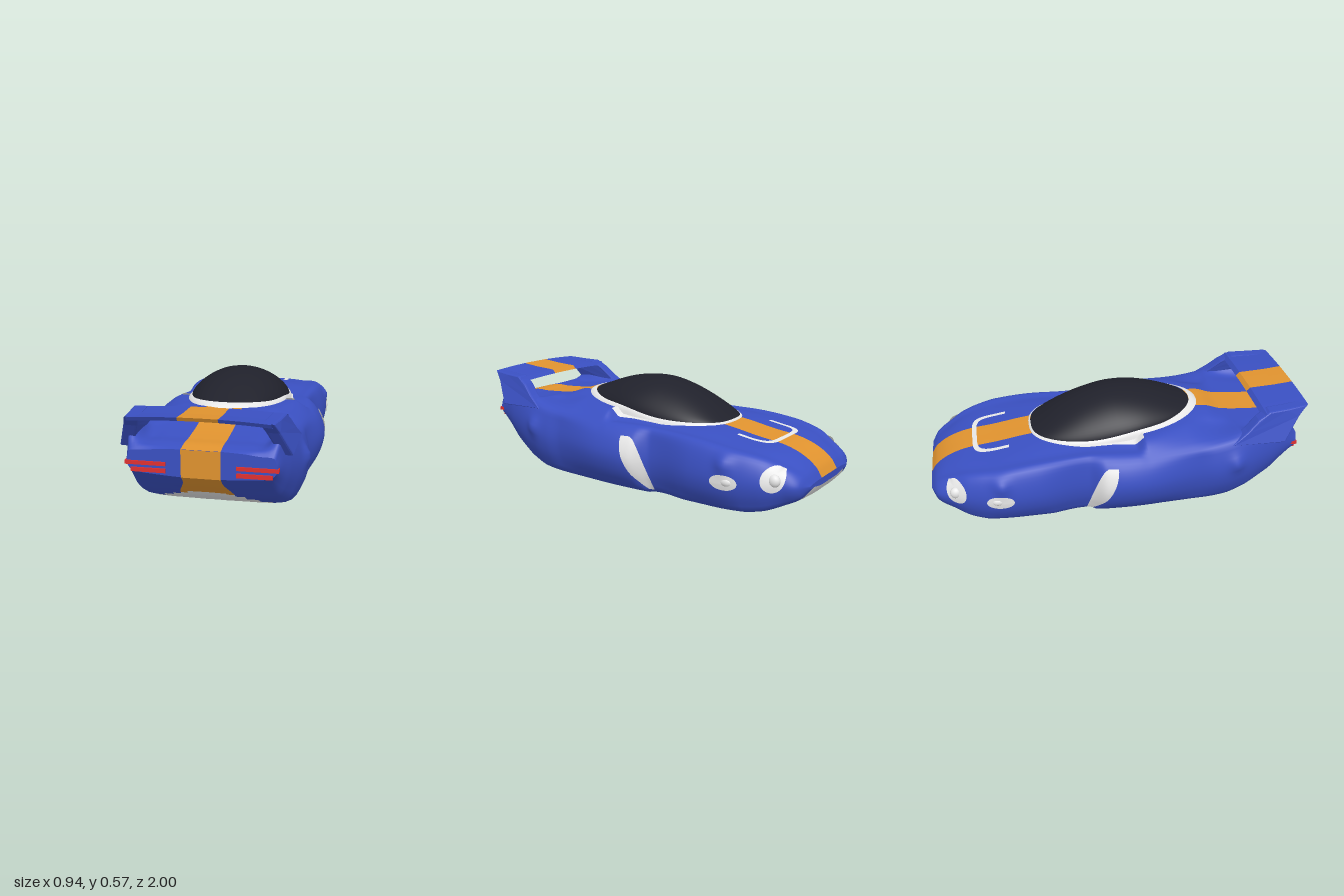
import * as THREE from 'three';

const mat = (name, color) => new THREE.MeshStandardMaterial({ name, color, side: THREE.DoubleSide });
const { lerp, smoothstep } = THREE.MathUtils;

// Body stations: z, max half width, floor y, shoulder x, shoulder y, centre top y
const stations = [
  [-1, .22, .175, .19, .205, .21], [-.97, .29, .13, .24, .245, .255], [-.9, .33, .09, .28, .285, .305],
  [-.8, .385, .05, .33, .325, .34], [-.65, .425, .028, .37, .35, .36], [-.45, .425, .022, .37, .37, .39],
  [-.19, .385, .016, .35, .375, .4], [-.1, .452, .012, .37, .38, .405], [.1, .47, .008, .39, .38, .43],
  [.4, .425, .008, .38, .39, .462], [.5, .435, .012, .375, .4, .462], [.6, .43, .03, .37, .42, .43],
  [.8, .385, .13, .345, .48, .41], [.88, .36, .2, .34, .46, .41], [.95, .34, .27, .32, .385, .4],
];
// Soft fender bulges: z, y
const bulges = [[-.64, .295], [.6, .29]];

// Smooth interpolation through rows of a table keyed by column 0
function sample(table, z) {
  let i = 0;
  while (i < table.length - 2 && table[i + 1][0] < z) i++;
  const a = table[i], b = table[i + 1];
  const p = table[Math.max(i - 1, 0)], q = table[Math.min(i + 2, table.length - 1)];
  const h = b[0] - a[0], t = THREE.MathUtils.clamp((z - a[0]) / h, 0, 1);
  return a.map((v, k) => {
    const m0 = (b[k] - p[k]) / (b[0] - p[0]) * h, m1 = (q[k] - v) / (q[0] - a[0]) * h;
    return (2 * t ** 3 - 3 * t * t + 1) * v + (t ** 3 - 2 * t * t + t) * m0
      + (3 * t * t - 2 * t ** 3) * b[k] + (t ** 3 - t * t) * m1;
  });
}

// Half cross-section from floor centre, round the flank, to roof centre
const SUB = 4;
function halfSection(z) {
  const [, w, yb, xs, ys, yc] = sample(stations, z);
  const wb = Math.min(.33, w * .8), yw = .2 + .02 * smoothstep(z, -.2, 0) + .11 * smoothstep(z, .4, 1);
  // Raised fairing behind the cockpit intakes, tapering to the tail
  const yi = Math.min(ys, yc) + .003 + .048 * smoothstep(z, .07, .13) * (1 - smoothstep(z, .35, .6));
  const xi = xs * (.82 - .17 * smoothstep(z, .1, .5) + .17 * smoothstep(z, .55, .7));
  const xf = .09 + .04 * (1 - smoothstep(z, .82, .93)) * smoothstep(z, .6, .75);
  const p = [[0, yb], [xf, yb], [wb, yb + .012], [lerp(wb, w, .72), lerp(yb, yw, .45)], [w, yw],
    [lerp(w, xs, .32), lerp(yw, ys, .62)], [xs, ys], [xi, yi], [xi * .72, lerp(yi, yc, .65)], [.09, yc], [0, yc]];
  const out = [];
  for (let i = 0; i < 10; i++) {
    const a = p[i], b = p[i + 1];
    const o = p[i - 1] || [-b[0], b[1]], n = p[i + 2] || [-a[0], a[1]];
    for (let s = 0; s < SUB; s++) {
      const t = s / SUB;
      const [x, y] = [0, 1].map(k => .5 * (2 * a[k] + (b[k] - o[k]) * t
        + (2 * o[k] - 5 * a[k] + 4 * b[k] - n[k]) * t * t + (3 * a[k] - o[k] - 3 * b[k] + n[k]) * t ** 3));
      const bump = i < 3 || i > 6 ? 0 : bulges.reduce((m, [bz, by]) => m + .022 * Math.exp(-((z - bz) ** 2 + (y - by) ** 2) / .0018), 0);
      out.push([x + bump, y]);
    }
  }
  out.push(p[10]);
  return out;
}
const ring = z => {
  const h = halfSection(z);
  return [...h, ...h.slice(1, -1).reverse().map(([x, y]) => [-x, y])];
};

// Body surface lookups for fitting details
function sideX(z, y) {
  const h = halfSection(z);
  for (let i = 2 * SUB; i < 7 * SUB; i++) {
    const [a, b] = [h[i], h[i + 1]];
    if (a[1] <= y && b[1] >= y) return lerp(a[0], b[0], (y - a[1]) / (b[1] - a[1] || 1));
  }
  return h[6 * SUB][0];
}
function topY(x, z) {
  const h = halfSection(z);
  x = Math.abs(x);
  for (let i = h.length - 1; i > 6 * SUB; i--) {
    const [a, b] = [h[i], h[i - 1]];
    if (a[0] <= x && b[0] >= x) return lerp(a[1], b[1], (x - a[0]) / (b[0] - a[0] || 1));
  }
  return h[6 * SUB][1];
}

// Surface grid from f(u, v) => [x, y, z]
function grid(nu, nv, f) {
  const pos = [], idx = [];
  for (let i = 0; i <= nu; i++) for (let j = 0; j <= nv; j++) {
    pos.push(...f(i / nu, j / nv));
    if (i < nu && j < nv) {
      const a = i * (nv + 1) + j, d = a + nv + 1;
      idx.push(a, a + 1, d + 1, a, d + 1, d);
    }
  }
  const g = new THREE.BufferGeometry();
  g.setAttribute('position', new THREE.Float32BufferAttribute(pos, 3));
  g.setIndex(idx);
  g.computeVertexNormals();
  return g;
}

// Body skin with painted column groups: blue, stripe, floor
function bodyGeometry() {
  const rows = 220, n = 20 * SUB, pos = [], sets = [[], [], []];
  for (let i = 0; i <= rows; i++) {
    const z = lerp(-1, .95, i / rows), section = ring(z);
    for (const [x, y] of section) pos.push(x, y, z);
    if (i === rows) break;
    for (let j = 0; j < n; j++) {
      const k = (j + 1) % n, seg = Math.floor((j < n / 2 ? j : n - 1 - j) / SUB);
      const x = (section[j][0] + section[k][0]) / 2, y = section[j][1];
      // Floor paint ends in an arch under the tail
      const floor = seg < 2 && (z < .5 || y < .165 - .14 * (x / .33) ** 2);
      const m = floor ? 2 : seg === 9 || seg === 0 ? 1 : 0;
      const a = i * n + j, b = i * n + k;
      sets[m].push(a, b, b + n, a, b + n, a + n);
    }
  }
  const g = new THREE.BufferGeometry();
  g.setAttribute('position', new THREE.Float32BufferAttribute(pos, 3));
  g.setIndex(sets.flat());
  let start = 0;
  sets.forEach((s, m) => { g.addGroup(start, s.length, m); start += s.length; });
  g.computeVertexNormals();
  return g;
}

// Canopy: base line and crown line along z, and plan outline by angle
const canopyBase = [[-.45, .395], [-.15, .405], [.1, .445], [.25, .455], [.43, .48]];
const canopyTop = [[-.45, .397], [-.3, .487], [-.15, .55], [0, .58], [.2, .56], [.43, .482]];
const outline = a => {
  const s = Math.max(Math.sin(a), 0), z = -.01 - .44 * Math.cos(a);
  return [.26 * s ** (z < 0 ? .72 : .95), z];
};

export function createModel() {
  const blue = mat('blue paint', 0x3a50c2), orange = mat('orange stripe', 0xe0932f);
  const white = mat('white trim and floor', 0xe8e8e8), glass = mat('dark glass', 0x20212b), red = mat('red lamp', 0xe03030);
  const car = new THREE.Group();
  const add = (name, g, m) => {
    const mesh = new THREE.Mesh(g, m);
    mesh.name = name;
    car.add(mesh);
    return mesh;
  };

  add('body', bodyGeometry(), [blue, orange, white]);
  // End panels
  for (const [name, z] of [['nosePanel', -1], ['tailPanel', .95]])
    add(name, new THREE.ShapeGeometry(new THREE.Shape(ring(z).map(p => new THREE.Vector2(...p)))), blue).position.z = z;
  add('tailStripe', new THREE.PlaneGeometry(.18, .13), orange).position.set(0, .335, .953);

  // Canopy and its rim
  add('canopy', grid(40, 32, (u, v) => {
    const [w, z] = outline(u * Math.PI), t = (v - .5) * Math.PI;
    const b = sample(canopyBase, z)[1], c = Math.max(sample(canopyTop, z)[1], b);
    return [-w * Math.sin(t), b + (c - b) * Math.max(Math.cos(t), 0) ** 1.35, z];
  }), glass);
  add('canopyRim', grid(96, 3, (u, v) => {
    const a = u * 2 * Math.PI, s = a > Math.PI ? -1 : 1;
    const [w, z] = outline(s > 0 ? a : 2 * Math.PI - a);
    const k = 1 + v * .07, zz = z * (z > 0 ? 1 + v * .12 : 1 + v * .03);
    const b = sample(canopyBase, z)[1] + .004;
    return [s * w * k, lerp(b, Math.min(b, topY(w * k, zz) - .004), v * v), zz];
  }), white);

  // Rear wing in three painted spans
  const foil = [[.74, .525], [.76, .545], [.9, .551], [1, .56], [.99, .542], [.85, .527], [.74, .525]];
  for (const [name, x0, x1] of [['wingLeft', .09, .36], ['wingStripe', -.09, .09], ['wingRight', -.36, -.09]]) {
    const g = grid(6, 6, (u, v) => {
      const [z, y] = foil[Math.round(v * 6)], x = lerp(x0, x1, u);
      const k = Math.abs(x) > .1 ? 1 - (z - .74) * .45 : 1;
      return [x * k, y - .012 * (x / .36) ** 2, z];
    }).toNonIndexed();
    g.computeVertexNormals();
    add(name, g, name === 'wingStripe' ? orange : blue);
  }

  // Hood air outlet, a flat U-shaped lip
  add('hoodVent', grid(64, 2, (u, v) => {
    const a = Math.PI * u, c = Math.cos(a), k = 1 - .13 * v;
    const x = -.18 * k * Math.sign(c) * Math.abs(c) ** .4, z = -.58 - .19 * k * Math.max(Math.sin(a), 0) ** .4;
    return [x, topY(x, z) + .007, z];
  }), white);

  for (const s of [1, -1]) {
    const side = s > 0 ? 'left' : 'right';
    const onSide = (z, y, off) => [s * (sideX(z, y) + off), y, z];
    const disc = (z, y, rz, ry, off) => grid(24, 4, (u, v) => {
      const a = u * 2 * Math.PI;
      return onSide(z + rz * v * Math.cos(a), y + ry * v * Math.sin(a), off);
    });
    const lens = (name, p, r, scale) => {
      const b = add(side + name, new THREE.SphereGeometry(r, 20, 14), white);
      b.position.set(...p);
      b.scale.set(...scale);
    };
    // Headlight, front duct and flank opening
    add(side + 'HeadlightPanel', disc(-.868, .242, .05, .062, .006), white);
    lens('HeadlightLens', onSide(-.87, .235, -.008), .032, [.8, 1, 1]);
    add(side + 'FrontDuct', disc(-.65, .208, .07, .038, .006), white);
    lens('DuctLens', onSide(-.66, .21, -.01), .03, [.7, .8, 1.2]);
    add(side + 'FlankOpening', grid(8, 20, (u, v) => {
      const z = lerp(lerp(-.04, -.17, v ** 1.6), lerp(-.09, -.2, v ** .55), u);
      return onSide(z, lerp(.34, .055, v), .007);
    }), white);

    // Cockpit side intake, running up the face of the fairing
    add(side + 'CockpitIntake', grid(36, 6, (u, v) => {
      const z = lerp(-.18, .12, u), x = lerp(.24, .265 + .045 * u, v);
      return [s * x, topY(x, z) + .008, z - .004];
    }), white);

    // Wing support fin
    const fin = new THREE.Shape([[.58, .39], [.66, .445], [.72, .5], [.78, .536], [.88, .538], [.985, .545], [.94, .5], [.86, .38]]
      .map(([z, y]) => new THREE.Vector2(-z, y)));
    const g = new THREE.ExtrudeGeometry(fin, { depth: .045, bevelSize: .006, bevelThickness: .01, bevelSegments: 2 });
    g.rotateY(Math.PI / 2);
    const p = g.attributes.position;
    for (let i = 0; i < p.count; i++)
      p.setX(i, s * (p.getX(i) + .325 - .32 * (p.getY(i) - .46) - .12 * Math.max(p.getZ(i) - .8, 0)));
    // Mirrored side needs its corner order reversed
    if (s < 0) g.setIndex(Array.from({ length: p.count }, (_, i) => i - i % 3 + 2 - i % 3));
    g.computeVertexNormals();
    add(side + 'WingFin', g, blue);

    // Tail lamps
    for (const [name, x0, x1, y, h] of [['UpperTailLamp', .16, .347, .328, .018], ['LowerTailLamp', .16, .32, .296, .02]])
      add(side + name, new THREE.BoxGeometry(x1 - x0, h, .06), red).position.set(s * (x0 + x1) / 2, y, .926);
  }
  return car;
}
